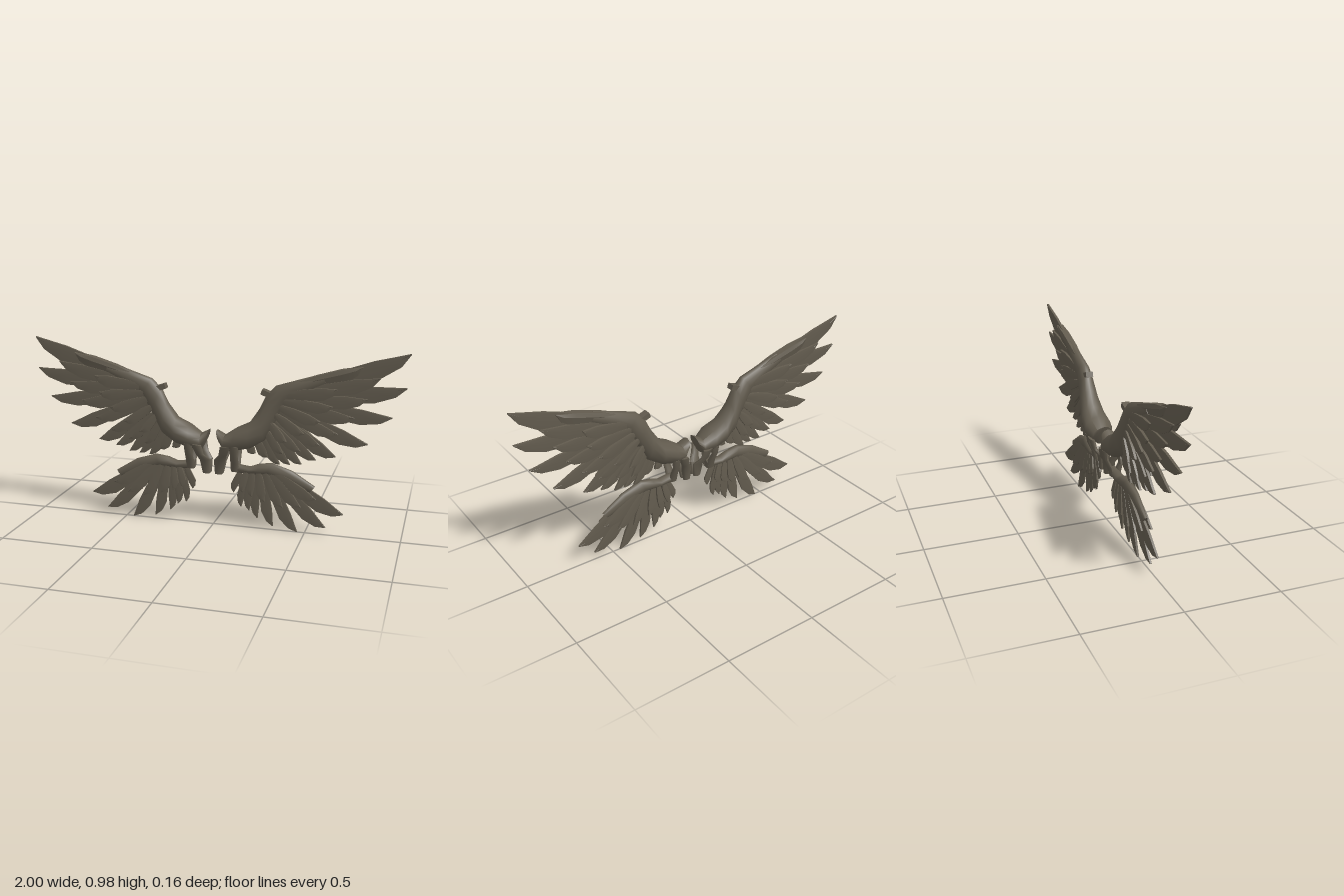
import * as THREE from 'three';
import { toCreasedNormals } from 'three/addons/utils/BufferGeometryUtils.js';

const plumage = new THREE.MeshStandardMaterial({ color: 0x625b4e });
plumage.name = 'dark brown plumage';

// Cross-sections as [across, depth] pairs
const ROUND = Array.from({ length: 12 }, (_, i) => [Math.cos(i * Math.PI / 6), Math.sin(i * Math.PI / 6)]);
const BLADE = [[1, 0.75], [0.35, 1], [-1, 0.6], [-1, -0.6], [0.35, -1], [1, -0.75]];

// Closed solid through rings [ax, ay, bx, by, halfDepth, z]: a and b are opposite edges
function loft(rings, section, crease, side) {
  const n = section.length, pos = [], idx = [];
  for (const [ax, ay, bx, by, d, z = 0] of rings) {
    for (const [u, w] of section) {
      pos.push(side * ((ax + bx) / 2 + u * (ax - bx) / 2), (ay + by) / 2 + u * (ay - by) / 2, z + w * d);
    }
  }
  for (let r = 0; r < rings.length - 1; r++) {
    for (let i = 0; i < n; i++) {
      const a = r * n + i, b = r * n + (i + 1) % n;
      idx.push(a, b, b + n, a, b + n, a + n);
    }
  }
  const last = (rings.length - 1) * n;
  for (let i = 1; i < n - 1; i++) idx.push(0, i + 1, i, last, last + i, last + i + 1);
  // Turn the faces outward, whichever way the rings run
  let volume = 0;
  const p = [new THREE.Vector3(), new THREE.Vector3(), new THREE.Vector3()];
  for (let i = 0; i < idx.length; i += 3) {
    p.forEach((v, k) => v.fromArray(pos, idx[i + k] * 3));
    volume += p[0].dot(p[1].cross(p[2]));
  }
  if (volume < 0) idx.reverse();
  const g = new THREE.BufferGeometry();
  g.setAttribute('position', new THREE.Float32BufferAttribute(pos, 3));
  g.setIndex(idx);
  return toCreasedNormals(g, crease);
}

function addMesh(parent, name, geometry) {
  const mesh = new THREE.Mesh(geometry, plumage);
  mesh.name = name;
  parent.add(mesh);
  return mesh;
}

// Feather outline: [along, leading edge, trailing edge, thickness]
const OUTLINE = [[0, 0.22, -0.25, 0.8], [0.35, 0.3, -0.55, 1], [0.72, 0.22, -0.75, 1], [0.9, 0.07, -0.5, 0.9], [1, 0, -0.05, 0.7]];

function feather(parent, name, side, [rx, ry, tx, ty, width], depth, z0 = 0, z1 = z0) {
  const dx = tx - rx, dy = ty - ry, len = Math.hypot(dx, dy);
  const nx = -dy / len * width, ny = dx / len * width;
  const rings = OUTLINE.map(([u, a, b, t]) => {
    const x = rx + dx * u, y = ry + dy * u;
    return [x + nx * a, y + ny * a, x + nx * b, y + ny * b, depth * t, z0 + (z1 - z0) * u];
  });
  addMesh(parent, name, loft(rings, BLADE, 0.35, side));
}

// Feather rows: [rootX, rootY, tipX, tipY, width]
const UPPER_FLIGHT = [
  [0.40, 0.75, 1.0, 0.98, 0.095], [0.40, 0.73, 0.99, 0.81, 0.085], [0.38, 0.70, 0.925, 0.655, 0.08],
  [0.36, 0.67, 0.81, 0.51, 0.08], [0.34, 0.63, 0.65, 0.43, 0.075], [0.32, 0.60, 0.55, 0.405, 0.06],
  [0.30, 0.58, 0.475, 0.375, 0.055], [0.27, 0.56, 0.415, 0.37, 0.05], [0.25, 0.54, 0.36, 0.365, 0.05],
  [0.22, 0.52, 0.30, 0.40, 0.05], [0.18, 0.49, 0.23, 0.415, 0.045],
];
const UPPER_COVERTS = [
  [0.38, 0.74, 0.86, 0.855, 0.075], [0.38, 0.72, 0.80, 0.745, 0.07], [0.37, 0.69, 0.74, 0.645, 0.07],
  [0.35, 0.66, 0.66, 0.555, 0.065], [0.34, 0.63, 0.57, 0.49, 0.06], [0.31, 0.59, 0.47, 0.45, 0.05],
  [0.28, 0.56, 0.38, 0.43, 0.045],
];
const UPPER_SMALL = [
  [0.38, 0.74, 0.65, 0.79, 0.065], [0.37, 0.71, 0.63, 0.70, 0.06], [0.35, 0.68, 0.57, 0.62, 0.06],
  [0.33, 0.64, 0.49, 0.55, 0.055], [0.30, 0.60, 0.40, 0.50, 0.05],
];
const LOWER_FLIGHT = [
  [0.31, 0.33, 0.70, 0.12, 0.085], [0.30, 0.32, 0.61, 0.04, 0.075], [0.28, 0.32, 0.46, 0.0, 0.07],
  [0.26, 0.33, 0.33, 0.02, 0.06], [0.235, 0.33, 0.245, 0.055, 0.05], [0.21, 0.33, 0.20, 0.095, 0.045],
  [0.185, 0.33, 0.155, 0.11, 0.042], [0.16, 0.33, 0.115, 0.19, 0.04],
];
const LOWER_COVERTS = [
  [0.31, 0.33, 0.56, 0.20, 0.065], [0.30, 0.33, 0.48, 0.15, 0.06], [0.28, 0.33, 0.385, 0.14, 0.055],
  [0.25, 0.33, 0.29, 0.16, 0.05], [0.22, 0.33, 0.22, 0.18, 0.04], [0.19, 0.33, 0.17, 0.20, 0.04],
];

function buildUpperWing(side) {
  const wing = new THREE.Group();
  // Shoulder and arm up to the wrist
  addMesh(wing, 'upperArm', loft([
    [0.02, 0.53, 0.04, 0.46, 0.04], [0.065, 0.505, 0.06, 0.42, 0.055], [0.13, 0.55, 0.11, 0.42, 0.078],
    [0.20, 0.585, 0.20, 0.44, 0.07], [0.25, 0.66, 0.28, 0.49, 0.055], [0.285, 0.735, 0.34, 0.60, 0.042],
    [0.335, 0.785, 0.40, 0.69, 0.036], [0.46, 0.825, 0.48, 0.74, 0.03], [0.57, 0.86, 0.60, 0.80, 0.026],
  ], ROUND, 1.0, side));
  // Small thumb knob above the wrist
  const knob = addMesh(wing, 'thumbKnob', new THREE.BoxGeometry(0.05, 0.028, 0.04));
  knob.position.set(side * 0.283, 0.742, 0);
  knob.rotation.z = side * -0.35;
  // Leading edge cover
  feather(wing, 'leadingCover', side, [0.42, 0.785, 0.77, 0.905, 0.07], 0.026);
  UPPER_FLIGHT.forEach((f, i) => feather(wing, 'flightFeather', side, f, 0.009, (i % 2) * 0.004 - 0.002));
  for (const face of [1, -1]) {
    UPPER_COVERTS.forEach(f => feather(wing, 'covert', side, f, 0.008, face * 0.018, face * 0.016));
    UPPER_SMALL.forEach(f => feather(wing, 'smallCovert', side, f, 0.009, face * 0.025, face * 0.034));
    // Hanging inner strut, front and back, narrowing to the foot
    addMesh(wing, 'innerStrut', loft([
      [0.11, 0.46, 0.05, 0.45, 0.016, face * 0.055], [0.085, 0.40, 0.04, 0.40, 0.013, face * 0.045],
      [0.07, 0.36, 0.008, 0.365, 0.015, face * 0.018], [0.055, 0.29, 0.012, 0.29, 0.014, face * 0.013],
    ], ROUND, 0.8, side));
  }
  return wing;
}

function buildLowerWing(side) {
  const wing = new THREE.Group();
  addMesh(wing, 'lowerArm', loft([
    [0.10, 0.355, 0.105, 0.305, 0.025], [0.20, 0.34, 0.20, 0.30, 0.028], [0.25, 0.36, 0.245, 0.30, 0.03],
    [0.32, 0.37, 0.29, 0.30, 0.028], [0.43, 0.335, 0.38, 0.27, 0.022], [0.55, 0.26, 0.52, 0.225, 0.012],
  ], ROUND, 1.0, side));
  LOWER_FLIGHT.forEach((f, i) => feather(wing, 'flightFeather', side, f, 0.008, (i % 2) * 0.004 - 0.002));
  for (const face of [1, -1]) {
    LOWER_COVERTS.forEach(f => feather(wing, 'covert', side, f, 0.008, face * 0.016, face * 0.026));
    // Strut joining the lower wing to the shoulder
    addMesh(wing, 'shoulderStrut', loft([
      [0.15, 0.46, 0.10, 0.46, 0.016, face * 0.055], [0.145, 0.41, 0.105, 0.41, 0.012, face * 0.05],
      [0.145, 0.36, 0.10, 0.36, 0.014, face * 0.026], [0.145, 0.31, 0.10, 0.31, 0.014, face * 0.013],
    ], ROUND, 0.8, side));
  }
  return wing;
}

export function createModel() {
  const model = new THREE.Group();
  model.name = 'wings';
  for (const [side, label] of [[1, 'left'], [-1, 'right']]) {
    const upper = buildUpperWing(side);
    upper.name = label + 'UpperWing';
    const lower = buildLowerWing(side);
    lower.name = label + 'LowerWing';
    model.add(upper, lower);
  }
  return model;
}
